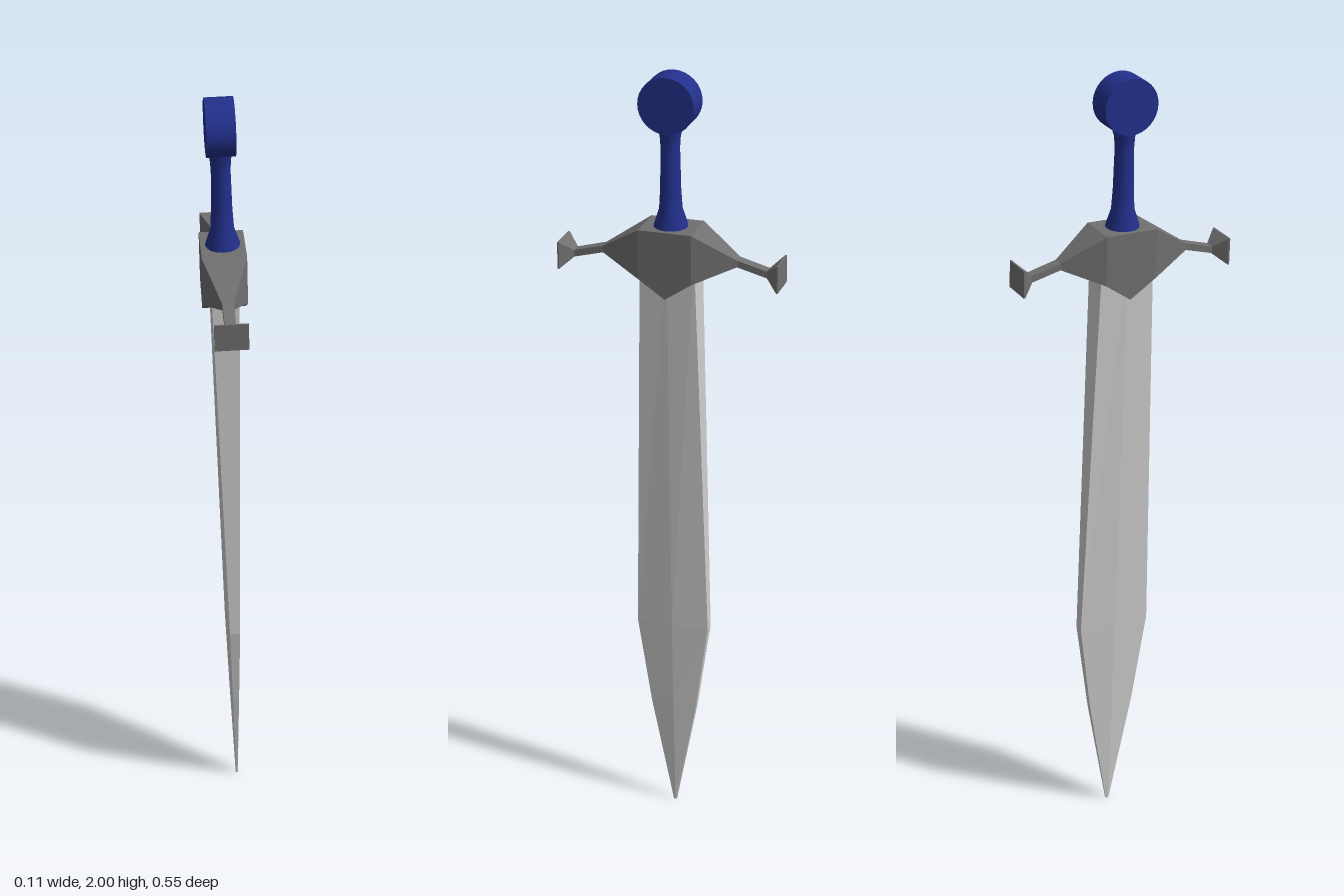
import * as THREE from 'three';

const steel = new THREE.MeshStandardMaterial({ color: 0xcccccc, flatShading: true });
const darkSteel = new THREE.MeshStandardMaterial({ color: 0x707070, flatShading: true });
const blue = new THREE.MeshStandardMaterial({ color: 0x22308c });

// Faceted solid through rings of [x, y, z], each counter-clockwise about the loft direction
function loft(rings) {
  const pos = [];
  const tri = (a, b, c) => pos.push(...a, ...b, ...c);
  const n = rings[0].length;
  for (let i = 0; i + 1 < rings.length; i++) {
    for (let j = 0; j < n; j++) {
      const k = (j + 1) % n;
      tri(rings[i][j], rings[i][k], rings[i + 1][k]);
      tri(rings[i][j], rings[i + 1][k], rings[i + 1][j]);
    }
  }
  const first = rings[0], last = rings[rings.length - 1];
  for (let j = 1; j + 1 < n; j++) {
    tri(first[0], first[j + 1], first[j]);
    tri(last[0], last[j], last[j + 1]);
  }
  const g = new THREE.BufferGeometry();
  g.setAttribute('position', new THREE.Float32BufferAttribute(pos, 3));
  g.computeVertexNormals();
  return g;
}

export function createModel() {
  const model = new THREE.Group();
  model.name = 'sword';
  const add = (name, geometry, material) => {
    const mesh = new THREE.Mesh(geometry, material);
    mesh.name = name;
    model.add(mesh);
    return mesh;
  };

  // Blade: [height, half width, half thickness at edge, half thickness at ridge]
  const bladeRings = [
    [0, 0.004, 0.002, 0.003],
    [0.3, 0.06, 0.008, 0.013],
    [0.54, 0.094, 0.013, 0.02],
    [1.56, 0.068, 0.034, 0.036],
  ].map(([y, w, e, r]) => [[e, y, w], [r, y, 0], [e, y, -w], [-e, y, -w], [-r, y, 0], [-e, y, w]]);
  add('blade', loft(bladeRings), steel);

  // Guard: [distance from centre, bottom, top, half thickness], mirrored to both sides
  const half = [
    [0.066, 1.5, 1.625, 0.053],
    [0.168, 1.543, 1.56, 0.014],
    [0.242, 1.523, 1.54, 0.013],
    [0.272, 1.498, 1.566, 0.04],
    [0.276, 1.498, 1.566, 0.04],
  ];
  const sections = [
    ...half.map(([z, ...rest]) => [-z, ...rest]).reverse(),
    [0, 1.455, 1.625, 0.053],
    ...half,
  ];
  add('guard', loft(sections.map(([z, lo, hi, h]) =>
    [[h, lo, z], [h, hi, z], [-h, hi, z], [-h, lo, z]])), darkSteel);

  // Grip, flared at both ends
  const profile = [
    [0.042, 1.61], [0.041, 1.63], [0.028, 1.67], [0.025, 1.72],
    [0.023, 1.82], [0.025, 1.85], [0.033, 1.875], [0.033, 1.89],
  ].map(([r, y]) => new THREE.Vector2(r, y));
  add('grip', new THREE.LatheGeometry(profile, 16), blue);

  // Disc pommel facing sideways
  const pommel = add('pommel', new THREE.CylinderGeometry(0.069, 0.069, 0.068, 32), blue);
  pommel.rotation.z = Math.PI / 2;
  pommel.position.y = 1.93;

  // The whole sword leans slightly
  model.rotation.set(0.016, -0.022, 0.025);
  model.position.set(0.038, 0, -0.025);
  const root = new THREE.Group();
  root.add(model);
  return root;
}
